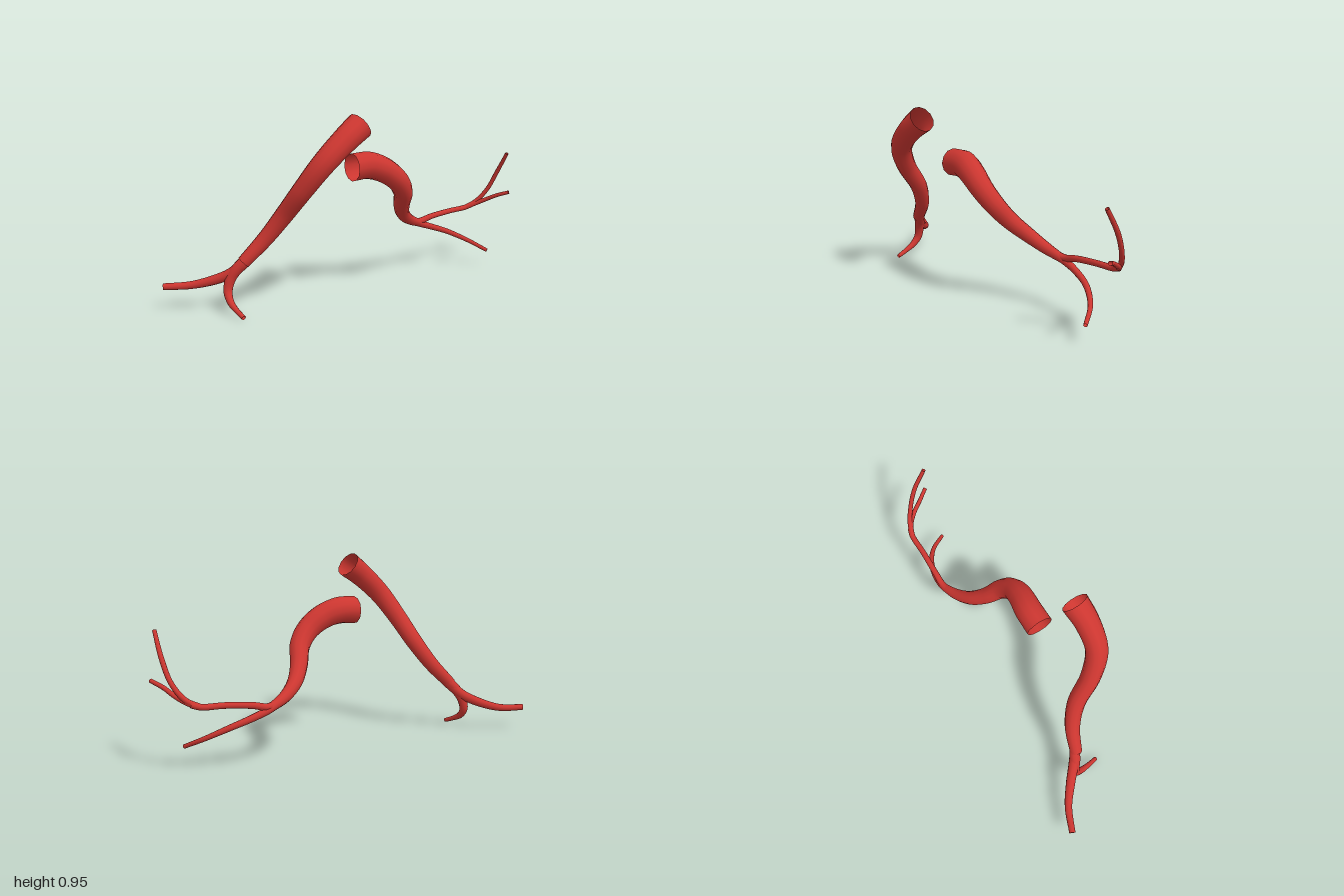
import * as THREE from 'three';

const vesselRed = new THREE.MeshStandardMaterial({ color: 0xcc3630, side: THREE.DoubleSide });
vesselRed.name = 'vesselRed';

// Open tapered tube through points [x, y, z, radius]
function vessel(name, points, segments = 40, sides = 12) {
  const curve = new THREE.CatmullRomCurve3(points.map(([x, y, z]) => new THREE.Vector3(x, y, z)));
  const geometry = new THREE.TubeGeometry(curve, segments, 1, sides, false);
  const pos = geometry.attributes.position;
  const v = new THREE.Vector3();
  for (let i = 0; i <= segments; i++) {
    const u = i / segments;
    const centre = curve.getPointAt(u);
    const t = curve.getUtoTmapping(u) * (points.length - 1);
    const k = Math.min(Math.floor(t), points.length - 2);
    const radius = THREE.MathUtils.lerp(points[k][3], points[k + 1][3], t - k);
    for (let j = 0; j <= sides; j++) {
      const n = i * (sides + 1) + j;
      v.fromBufferAttribute(pos, n).sub(centre).multiplyScalar(radius).add(centre);
      pos.setXYZ(n, v.x, v.y, v.z);
    }
  }
  const mesh = new THREE.Mesh(geometry, vesselRed);
  mesh.name = name;
  return mesh;
}

export function createModel() {
  const model = new THREE.Group();
  model.name = 'arteries';

  // Right artery: trunk and two end branches
  const right = new THREE.Group();
  right.name = 'rightArtery';
  right.add(
    vessel('rightTrunk', [
      [-0.11, 0.9, 0.228, 0.068], [-0.2, 0.837, 0.257, 0.062], [-0.31, 0.735, 0.266, 0.056],
      [-0.39, 0.612, 0.212, 0.05], [-0.455, 0.478, 0.118, 0.045], [-0.535, 0.36, 0.07, 0.039],
      [-0.64, 0.25, 0.052, 0.032],
    ], 48),
    vessel('rightOuterBranch', [
      [-0.6, 0.285, 0.058, 0.029], [-0.645, 0.238, 0.045, 0.028], [-0.695, 0.192, 0.018, 0.026],
      [-0.765, 0.156, -0.025, 0.024], [-0.87, 0.126, -0.08, 0.019], [-0.998, 0.124, -0.113, 0.016],
    ]),
    vessel('rightLowerBranch', [
      [-0.6, 0.285, 0.058, 0.028], [-0.67, 0.215, 0.036, 0.028], [-0.7, 0.165, 0.025, 0.026],
      [-0.715, 0.105, 0.03, 0.022], [-0.712, 0.062, 0.065, 0.017], [-0.697, 0.035, 0.115, 0.013],
      [-0.677, 0.013, 0.168, 0.011],
    ]),
  );

  // Left artery: trunk, lower branch, upper branch and its two twigs
  const left = new THREE.Group();
  left.name = 'leftArtery';
  left.add(
    vessel('leftTrunk', [
      [-0.085, 0.675, 0.07, 0.07], [0.01, 0.677, 0.053, 0.069], [0.1, 0.646, 0.05, 0.064],
      [0.18, 0.587, 0.036, 0.057], [0.233, 0.516, -0.005, 0.051], [0.26, 0.436, -0.075, 0.044],
      [0.305, 0.366, -0.152, 0.037], [0.37, 0.313, -0.21, 0.03], [0.455, 0.273, -0.258, 0.021],
    ], 56),
    vessel('leftLowerBranch', [
      [0.42, 0.288, -0.24, 0.021], [0.47, 0.265, -0.264, 0.019], [0.545, 0.238, -0.277, 0.017],
      [0.65, 0.2, -0.271, 0.015], [0.76, 0.147, -0.225, 0.012], [0.843, 0.097, -0.148, 0.01],
    ]),
    vessel('leftUpperBranch', [
      [0.42, 0.288, -0.24, 0.02], [0.47, 0.28, -0.263, 0.018], [0.545, 0.297, -0.277, 0.016],
      [0.68, 0.313, -0.299, 0.015], [0.79, 0.319, -0.32, 0.015], [0.835, 0.332, -0.317, 0.014],
    ]),
    vessel('upperTwig', [
      [0.79, 0.319, -0.32, 0.014], [0.855, 0.352, -0.308, 0.013], [0.91, 0.425, -0.275, 0.012],
      [0.942, 0.53, -0.228, 0.012], [0.96, 0.65, -0.156, 0.01],
    ]),
    vessel('outerTwig', [
      [0.79, 0.319, -0.32, 0.014], [0.845, 0.338, -0.308, 0.013], [0.895, 0.366, -0.27, 0.012],
      [0.938, 0.398, -0.217, 0.011], [0.987, 0.423, -0.164, 0.01],
    ]),
  );

  model.add(right, left);
  return model;
}
